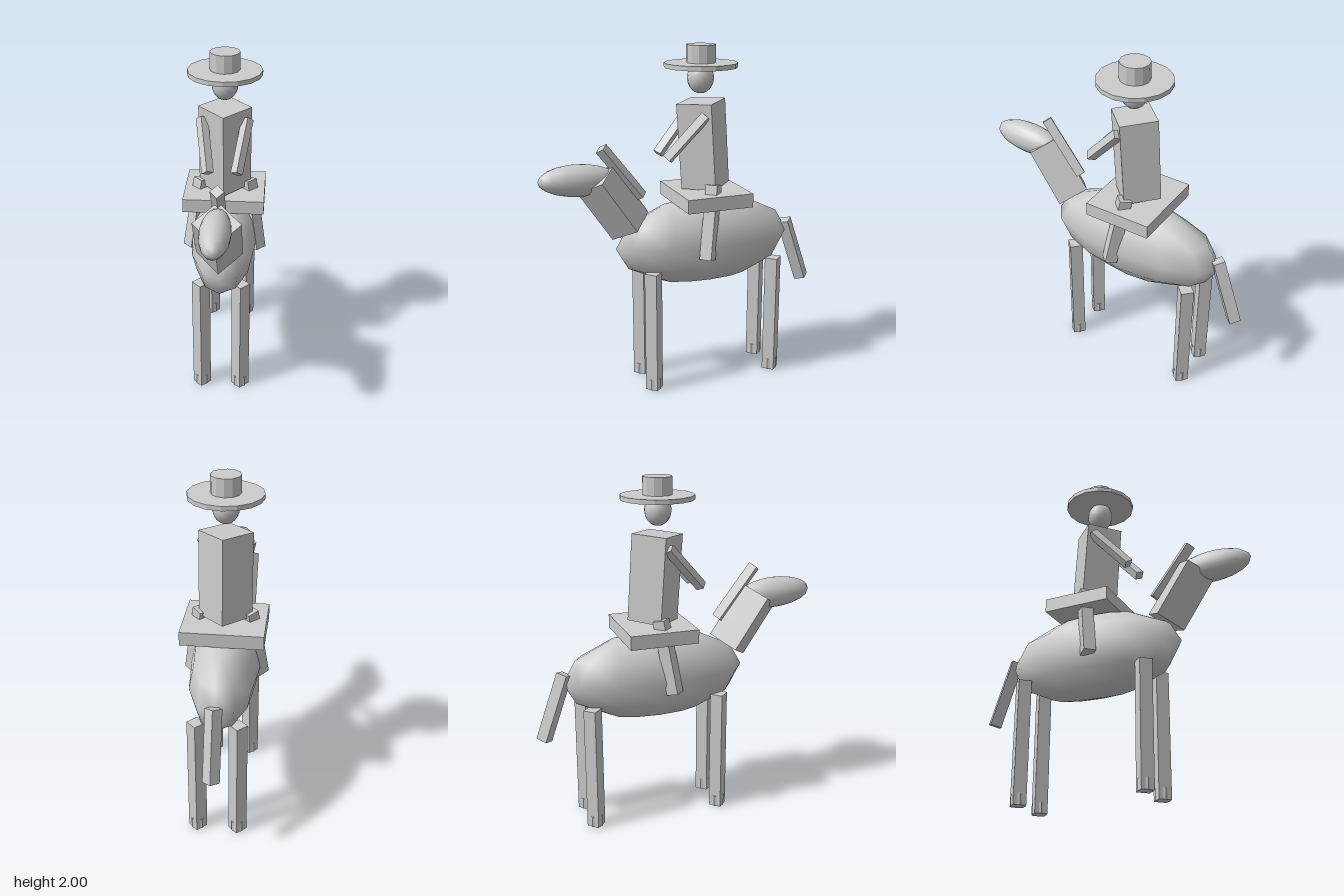
import * as THREE from 'three';

export function createModel() {
  const model = new THREE.Group();
  model.name = 'horseAndRider';

  const grey = new THREE.MeshStandardMaterial({ color: 0xcccccc });
  grey.name = 'plain grey';

  const UP = new THREE.Vector3(0, 1, 0);

  // Faceted parts get split normals so every face stays flat
  function add(name, geometry, faceted = true) {
    let g = geometry;
    if (faceted) {
      g = geometry.toNonIndexed();
      g.computeVertexNormals();
    }
    const mesh = new THREE.Mesh(g, grey);
    mesh.name = name;
    model.add(mesh);
    return mesh;
  }

  // Prism between two points; four sides by default, corners on the axes
  function rod(name, from, to, radius, sides = 4) {
    const a = new THREE.Vector3(...from);
    const b = new THREE.Vector3(...to);
    const dir = b.clone().sub(a);
    const mesh = add(name, new THREE.CylinderGeometry(radius, radius, dir.length(), sides));
    mesh.position.copy(a).add(b).multiplyScalar(0.5);
    mesh.quaternion.setFromUnitVectors(UP, dir.normalize());
    return mesh;
  }

  function ellipsoid(name, center, radii, w, h) {
    const mesh = add(name, new THREE.SphereGeometry(1, w, h), false);
    mesh.position.set(...center);
    mesh.scale.set(...radii);
    return mesh;
  }

  // Horse
  ellipsoid('body', [0, 0.86, -0.135], [0.2, 0.26, 0.545], 12, 6);
  rod('neck', [0, 0.992, 0.32], [0, 1.285, 0.516], 0.13);
  ellipsoid('horseHead', [0, 1.286, 0.615], [0.084, 0.09, 0.227], 16, 10).rotation.x = -0.04;
  rod('mane', [0, 1.16, 0.254], [0, 1.455, 0.481], 0.038);
  rod('tail', [0, 0.532, -0.802], [0, 0.918, -0.669], 0.047);

  for (const [side, x] of [['left', 0.116], ['right', -0.116]]) {
    for (const [end, z] of [['Front', 0.225], ['Back', -0.54]]) {
      rod(side + end + 'Leg', [x, 0, z], [x, 0.73, z], 0.053);
      rod(side + end + 'Hoof', [x, 0, z], [x, 0.065, z], 0.043, 8);
    }
  }

  // Saddle
  add('saddle', new THREE.BoxGeometry(0.466, 0.08, 0.396)).position.set(0, 1.135, -0.144);

  // Rider
  rod('torso', [0, 1.19, -0.143], [0, 1.683, -0.111], 0.15);
  ellipsoid('riderHead', [0, 1.815, -0.108], [0.074, 0.088, 0.076], 16, 12);
  for (const [side, s] of [['left', 1], ['right', -1]]) {
    rod(side + 'Arm', [s * 0.08, 1.382, 0.122], [s * 0.128, 1.62, -0.09], 0.034);
    rod(side + 'RiderLeg', [s * 0.198, 0.8, -0.077], [s * 0.135, 1.222, -0.138], 0.05);
  }

  // Hat
  rod('hatBrim', [0, 1.874, -0.11], [0, 1.9, -0.11], 0.208, 16);
  rod('hatCrown', [0, 1.9, -0.11], [0, 2, -0.11], 0.084, 12);

  return model;
}
